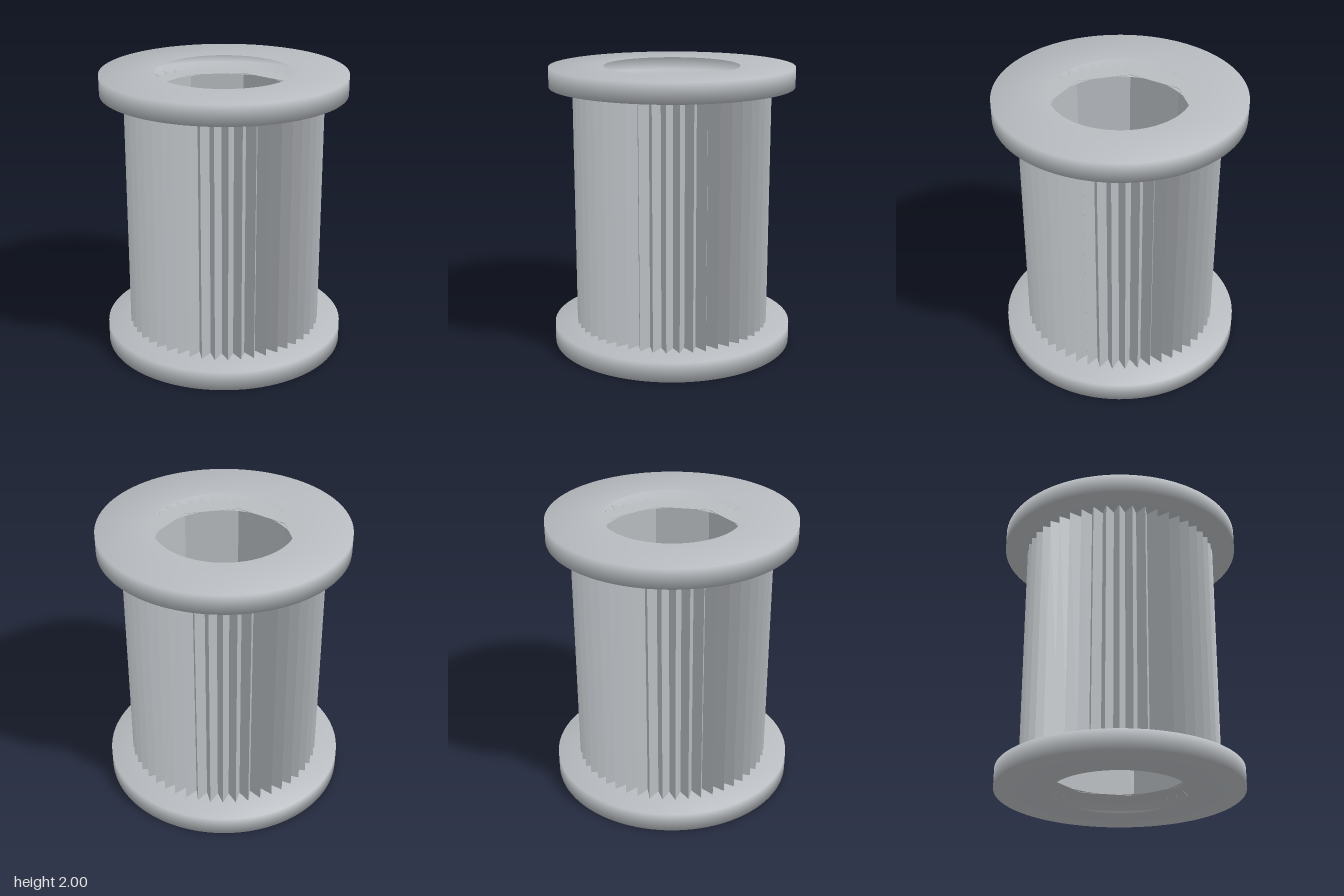
import * as THREE from 'three';

// Closed ring of points at given radius function
function ringPoints(count, radiusAt) {
  return Array.from({ length: count }, (_, i) => {
    const a = (i / count) * Math.PI * 2;
    const r = radiusAt(i);
    return new THREE.Vector2(Math.cos(a) * r, Math.sin(a) * r);
  });
}

export function createModel() {
  const group = new THREE.Group();
  group.name = 'pleatedSpool';

  const grey = new THREE.MeshStandardMaterial({ color: 0xb8bcc0, side: THREE.DoubleSide });
  grey.name = 'grey';

  // Pleated column: 48 sharp pleats outside, octagonal bore inside
  const pleats = 48;
  const bottom = 0.135;
  const outline = new THREE.Shape(ringPoints(pleats * 2, (i) => (i % 2 ? 0.695 : 0.6)));
  outline.holes.push(new THREE.Path(ringPoints(8, () => 0.507).reverse()));
  const columnGeometry = new THREE.ExtrudeGeometry(outline, { depth: 2 - 2 * bottom, bevelEnabled: false });
  columnGeometry.rotateX(-Math.PI / 2);
  columnGeometry.translate(0, bottom, 0);
  const column = new THREE.Mesh(columnGeometry, grey);
  column.name = 'pleatedColumn';
  group.add(column);

  // End flanges: soft-shaded hollow rings, open towards the bore
  const thickness = 0.138;
  const profile = [[0.477, 0], [0.858, 0], [0.858, thickness], [0.477, thickness]]
    .map(([r, y]) => new THREE.Vector2(r, y));
  const flangeGeometry = new THREE.LatheGeometry(profile, 96);
  for (const [name, y] of [['bottomFlange', 0], ['topFlange', 2 - thickness]]) {
    const flange = new THREE.Mesh(flangeGeometry, grey);
    flange.name = name;
    flange.position.y = y;
    group.add(flange);
  }

  return group;
}
